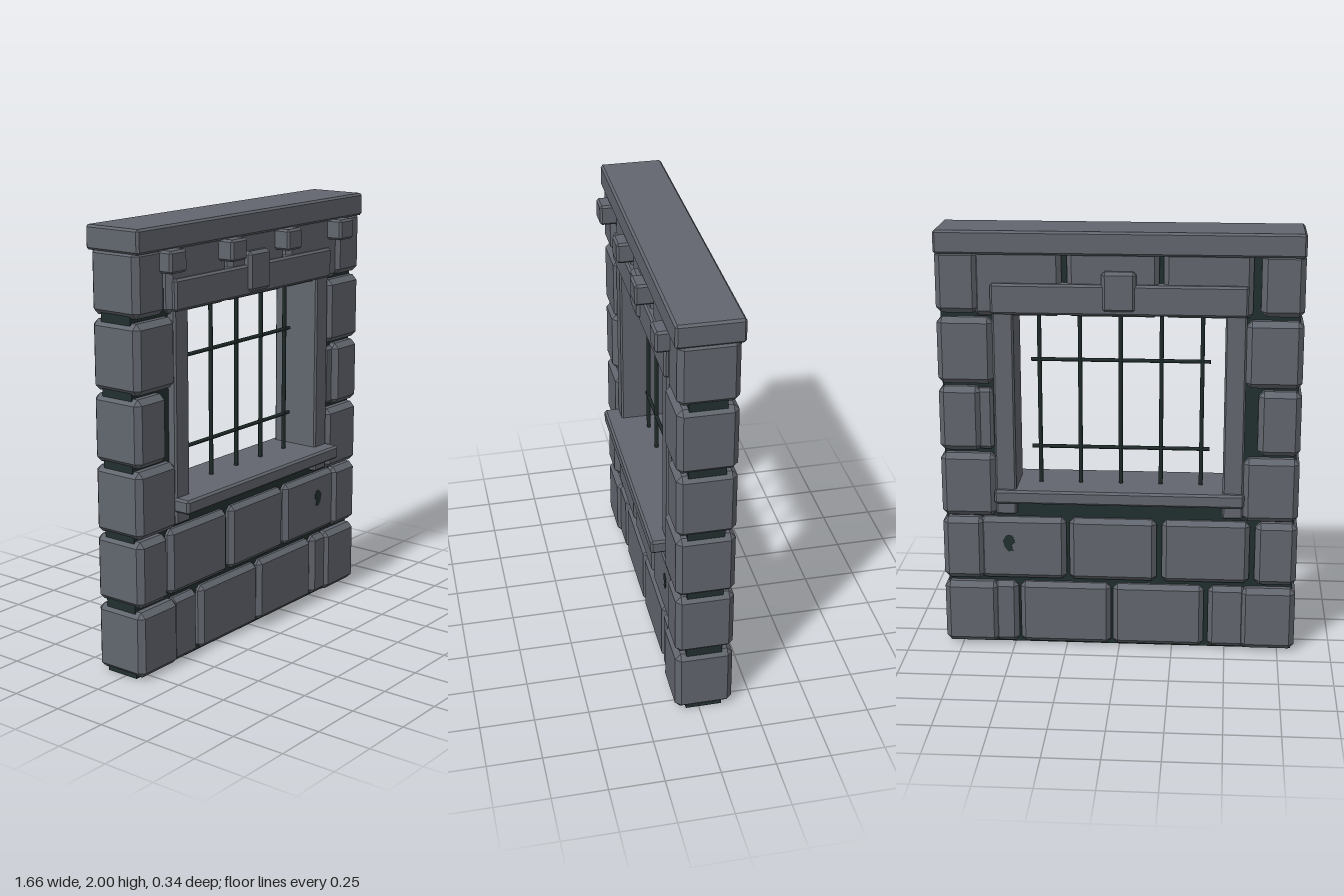
import * as THREE from 'three';
import { ConvexGeometry } from 'three/addons/geometries/ConvexGeometry.js';

const stone = new THREE.MeshStandardMaterial({ color: 0x62666e });
stone.name = 'stone';
const mortar = new THREE.MeshStandardMaterial({ color: 0x22302f });
mortar.name = 'dark mortar';
const iron = new THREE.MeshStandardMaterial({ color: 0x1e2a29 });
iron.name = 'iron';

// Box with all edges chamfered by c
function chamferBox(w, h, d, c) {
  const points = [];
  for (const sx of [-1, 1]) for (const sy of [-1, 1]) for (const sz of [-1, 1]) {
    const x = sx * w / 2, y = sy * h / 2, z = sz * d / 2;
    points.push(
      new THREE.Vector3(x, y - sy * c, z - sz * c),
      new THREE.Vector3(x - sx * c, y, z - sz * c),
      new THREE.Vector3(x - sx * c, y - sy * c, z)
    );
  }
  return new ConvexGeometry(points);
}

export function createModel() {
  const model = new THREE.Group();
  model.name = 'barredWindowWall';

  const add = (name, geometry, material, x, y, z) => {
    const mesh = new THREE.Mesh(geometry, material);
    mesh.name = name;
    mesh.position.set(x, y, z);
    model.add(mesh);
    return mesh;
  };
  // Chamfered stone given by its limits
  const block = (name, x0, x1, y0, y1, z0, z1, c) =>
    add(name, chamferBox(x1 - x0, y1 - y0, z1 - z0, c), stone,
      (x0 + x1) / 2, (y0 + y1) / 2, (z0 + z1) / 2);

  // Mortar core around the opening
  const core = new THREE.Shape();
  core.moveTo(-0.815, 0).lineTo(0.815, 0).lineTo(0.815, 1.9).lineTo(-0.815, 1.9).closePath();
  const opening = new THREE.Path();
  opening.moveTo(-0.54, 0.73).lineTo(-0.54, 1.615).lineTo(0.54, 1.615).lineTo(0.54, 0.73).closePath();
  core.holes.push(opening);
  add('mortarCore', new THREE.ExtrudeGeometry(core, { depth: 0.165, bevelEnabled: false }),
    mortar, 0, 0, -0.105);

  // Corner stones, alternating long and short
  const rows = [[0.01, 0.315], [0.335, 0.64], [0.65, 0.955], [0.97, 1.275], [1.29, 1.6], [1.62, 1.91]];
  rows.forEach(([y0, y1], i) => {
    const inner = i % 2 ? 0.635 : 0.573;
    block('cornerStoneLeft', inner, 0.83, y0, y1, -0.155, 0.11, 0.025);
    block('cornerStoneRight', -0.83, -inner, y0, y1, -0.155, 0.11, 0.025);
  });

  // Wall bricks by row
  const bricks = [
    [0, [[-0.6, -0.42], [-0.4, 0.03], [0.04, 0.47], [0.48, 0.6]]],
    [1, [[-0.61, -0.2], [-0.175, 0.235], [0.25, 0.66]]],
    [5, [[-0.6, -0.2], [-0.18, 0.235], [0.26, 0.66]]]
  ];
  for (const [row, spans] of bricks) {
    for (const [x0, x1] of spans) {
      const y0 = row === 5 ? 1.608 : rows[row][0];
      block('wallBrick', x0, x1, y0, rows[row][1], -0.14, 0.095, 0.022);
    }
  }
  block('fillerBrick', 0.58, 0.66, 0.975, 1.265, -0.135, 0.085, 0.015);

  // Window surround
  for (const s of [-1, 1]) {
    const x = s * 0.527;
    block('jamb', x - 0.048, x + 0.048, 0.66, 1.63, -0.145, 0.1, 0.008);
  }
  block('sill', -0.58, 0.58, 0.72, 0.785, -0.17, 0.172, 0.01);
  block('lintel', -0.58, 0.58, 1.62, 1.76, -0.163, 0.114, 0.01);
  block('keystone', -0.078, 0.078, 1.635, 1.82, -0.172, 0.128, 0.015);

  // Coping and the brackets below it
  block('coping', -0.83, 0.83, 1.893, 2, -0.172, 0.122, 0.01);
  for (const x of [-0.625, -0.21, 0.205, 0.625]) {
    block('bracket', x - 0.055, x + 0.055, 1.8, 1.897, 0.06, 0.172, 0.01);
  }

  // Iron grille
  const upright = new THREE.CylinderGeometry(0.01, 0.01, 0.86, 10);
  for (let i = -2; i <= 2; i++) add('verticalBar', upright, iron, i * 0.188, 1.2, -0.015);
  const cross = new THREE.CylinderGeometry(0.009, 0.009, 0.83, 10).rotateZ(Math.PI / 2);
  for (const y of [0.96, 1.38]) add('crossBar', cross, iron, 0, y, -0.015);

  // Chipped spot on both faces of one brick
  const chip = new THREE.Shape([
    [-0.022, 0.03], [-0.005, 0.042], [0.015, 0.035], [0.028, 0.012], [0.02, -0.02],
    [0.002, -0.042], [-0.02, -0.036], [-0.012, -0.012], [-0.028, 0.005]
  ].map(([x, y]) => new THREE.Vector2(x, y)));
  const chipGeometry = new THREE.ExtrudeGeometry(chip, { depth: 0.004, bevelEnabled: false });
  add('chipFront', chipGeometry, mortar, 0.52, 0.515, 0.093);
  add('chipBack', chipGeometry, mortar, 0.52, 0.515, -0.142);

  return model;
}
